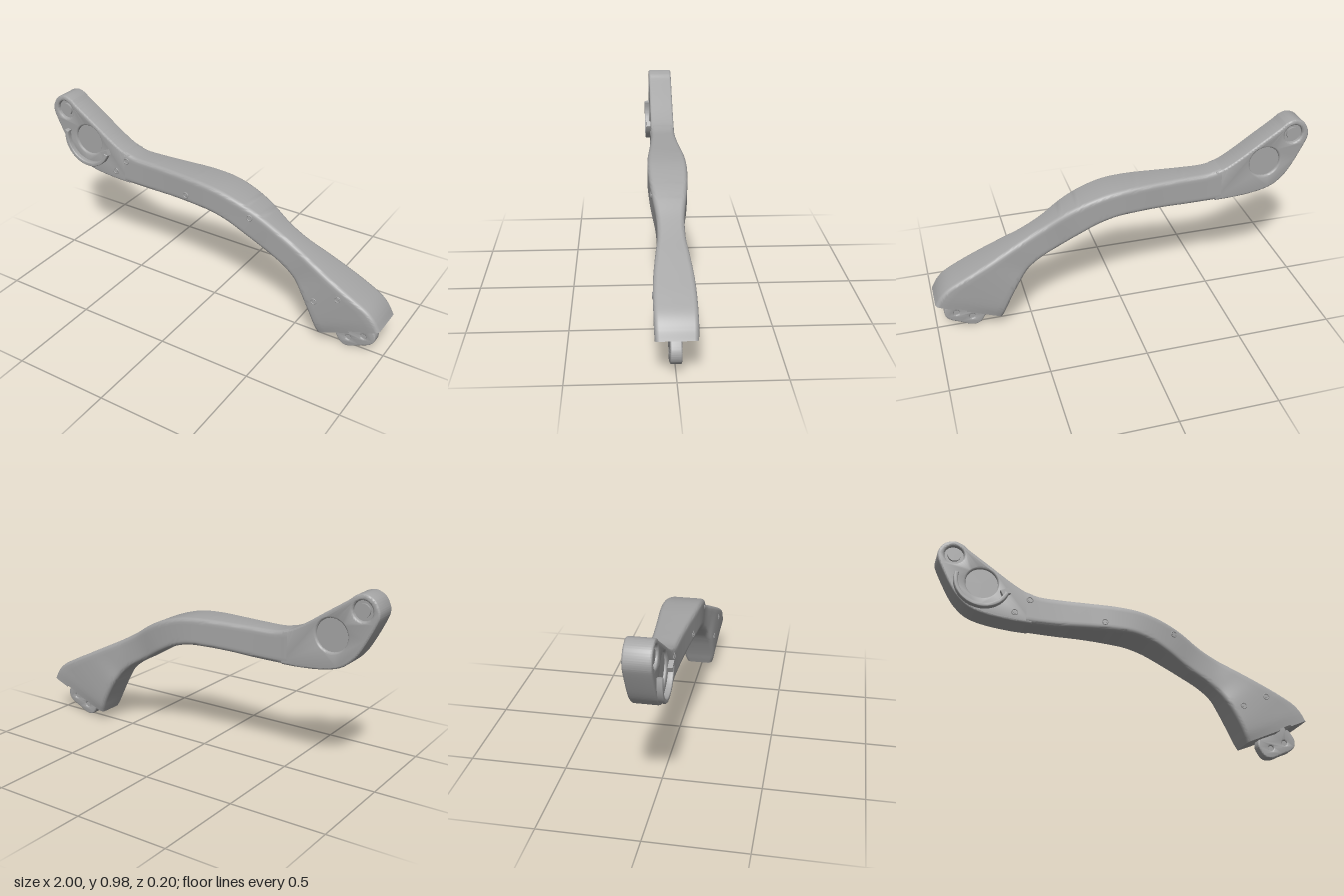
import * as THREE from 'three';
import { toCreasedNormals } from 'three/addons/utils/BufferGeometryUtils.js';

const grey = new THREE.MeshStandardMaterial({ color: 0xa5a5a5 });
grey.name = 'satin grey';

// Edge curves of the arm: x, y and half thickness
const curve = (pts) => new THREE.CatmullRomCurve3(pts.map((p) => new THREE.Vector3(...p)));
const topEdge = curve([
  [-0.53, 0.752, 0.066], [-0.46, 0.737, 0.067], [-0.35, 0.735, 0.071], [-0.2, 0.735, 0.082],
  [-0.05, 0.733, 0.095], [0.08, 0.72, 0.1], [0.2, 0.685, 0.096], [0.3, 0.64, 0.085],
  [0.42, 0.565, 0.068], [0.52, 0.51, 0.068], [0.62, 0.46, 0.082], [0.74, 0.4, 0.095],
  [0.85, 0.345, 0.1], [0.93, 0.3, 0.1], [0.97, 0.26, 0.1], [1, 0.21, 0.098],
]);
const bottomEdge = curve([
  [-0.53, 0.574, 0.066], [-0.46, 0.574, 0.067], [-0.35, 0.576, 0.071], [-0.2, 0.584, 0.082],
  [-0.06, 0.586, 0.095], [0.04, 0.58, 0.1], [0.13, 0.555, 0.098], [0.22, 0.51, 0.09],
  [0.34, 0.437, 0.07], [0.44, 0.38, 0.066], [0.51, 0.325, 0.07], [0.56, 0.26, 0.085],
  [0.6, 0.19, 0.09], [0.63, 0.13, 0.09], [0.645, 0.095, 0.086], [0.66, 0.06, 0.076],
]);

// Arm lofted between the two edges, with rounded corners and a slot across the end
function armGeometry() {
  const steps = 90, r = 0.022;
  const inner = [0.12, 0.24, 0.25, 0.44, 0.45, 0.6, 0.75, 0.9];
  const rings = [];
  for (let i = 0; i <= steps; i++) {
    const T = topEdge.getPoint(i / steps), B = bottomEdge.getPoint(i / steps);
    const L = Math.hypot(T.x - B.x, T.y - B.y);
    const corner = [[0, r], [0.08 * r, 0.62 * r], [0.3 * r, 0.3 * r], [0.62 * r, 0.08 * r], [r, 0]];
    const rows = [
      ...corner,
      ...inner.map((f) => [r + f * (L - 2 * r), 0, f]),
      ...corner.map(([s, d]) => [L - s, d]).reverse(),
    ];
    const front = rows.map(([s, inset, f]) => {
      const p = T.clone().lerp(B, s / L);
      p.z -= inset;
      if (i === steps && f > 0.245 && f < 0.445) {
        p.x -= 0.016;
        p.y += 0.036;
      }
      return p;
    });
    const back = front.map((p) => new THREE.Vector3(p.x, p.y, -p.z)).reverse();
    rings.push([...front, ...back]);
  }
  const n = rings[0].length, pos = [], index = [];
  rings.flat().forEach((p) => pos.push(p.x, p.y, p.z));
  const quad = (a, b, c, d) => index.push(a, b, d, b, c, d);
  for (let i = 0; i < steps; i++) {
    for (let j = 0; j < n; j++) {
      const k = (j + 1) % n;
      quad(i * n + j, i * n + k, (i + 1) * n + k, (i + 1) * n + j);
    }
  }
  // Underside at the foot end
  const e = steps * n;
  for (let j = 0; j < n / 2 - 1; j++) quad(e + j, e + j + 1, e + n - 2 - j, e + n - 1 - j);
  const g = new THREE.BufferGeometry();
  g.setAttribute('position', new THREE.Float32BufferAttribute(pos, 3));
  g.setIndex(index);
  return toCreasedNormals(g, 0.6);
}

// Flat plate with bevelled edges, from z0 to z1
function plate(shape, z0, z1, bevel) {
  const g = new THREE.ExtrudeGeometry(shape, {
    depth: z1 - z0 - 2 * bevel, bevelThickness: bevel, bevelSize: bevel,
    bevelOffset: -bevel, bevelSegments: 3, curveSegments: 24,
  });
  g.translate(0, 0, z0 + bevel);
  return toCreasedNormals(g, 0.6);
}

function smoothShape(pts) {
  const v = pts.map((p) => new THREE.Vector2(...p));
  const s = new THREE.Shape();
  s.moveTo(v[0].x, v[0].y);
  s.splineThru(v.slice(1));
  return s;
}

const hole = (x, y, r) => new THREE.Path().absarc(x, y, r, 0, Math.PI * 2, true);

export function createModel() {
  const model = new THREE.Group();
  const add = (name, geometry) => {
    const m = new THREE.Mesh(geometry, grey);
    m.name = name;
    model.add(m);
    return m;
  };
  const disc = (name, x, y, r, z0, z1, sides = 40) => {
    const g = new THREE.CylinderGeometry(r, r, z1 - z0, sides).rotateX(Math.PI / 2);
    return add(name, g.translate(x, y, (z0 + z1) / 2));
  };

  const arm = add('arm', armGeometry());

  // Pivot lug with two recessed bores
  const lugShape = smoothShape([
    [-0.5, 0.742], [-0.55, 0.758], [-0.62, 0.798], [-0.73, 0.872], [-0.84, 0.945], [-0.875, 0.972],
    [-0.92, 0.985], [-0.965, 0.968], [-0.99, 0.935], [-1, 0.895], [-0.985, 0.845], [-0.92, 0.72],
    [-0.87, 0.655], [-0.81, 0.612], [-0.72, 0.588], [-0.6, 0.576], [-0.5, 0.574],
  ]);
  lugShape.holes.push(hole(-0.765, 0.765, 0.083), hole(-0.915, 0.905, 0.05));
  const lug = add('pivotLug', plate(lugShape, -0.066, 0.064, 0.01));
  disc('pivotDisc', -0.765, 0.765, 0.086, -0.052, 0.052);
  disc('endBoreFloor', -0.915, 0.905, 0.053, -0.045, 0.045);
  disc('endBolt', -0.915, 0.905, 0.033, -0.055, 0.055, 24);

  // Raised lip curving under the pivot disc
  const lip = new THREE.Shape();
  const a0 = 2.9, a1 = 5.95;
  lip.absarc(-0.765, 0.765, 0.147, a0, a1, false);
  lip.absarc(-0.765, 0.765, 0.125, a1, a0, true);
  add('curvedLip', plate(lip, 0.05, 0.09, 0.005));
  const stop = new THREE.BoxGeometry(0.045, 0.03, 0.035);
  add('lipStop', stop.rotateZ(0.45).translate(-0.645, 0.722, 0.07));

  // Foot tab with two shallow dimples
  const tabShape = smoothShape([
    [0.78, 0.18], [0.742, 0.085], [0.757, 0.035], [0.785, 0.008], [0.825, 0.008], [0.88, 0.034],
    [0.93, 0.058], [0.955, 0.09], [0.95, 0.135], [0.9, 0.2],
  ]);
  const dimples = [[0.815, 0.06], [0.895, 0.097]];
  dimples.forEach(([x, y]) => tabShape.holes.push(hole(x, y, 0.014)));
  add('footTab', plate(tabShape, -0.027, 0.027, 0.007));
  dimples.forEach(([x, y]) => disc('tabDimple', x, y, 0.016, -0.02, 0.02, 20));

  // Screws seated on the front face
  const ray = new THREE.Raycaster();
  const toBack = new THREE.Vector3(0, 0, -1);
  const screws = [[-0.515, 0.705], [-0.59, 0.625], [-0.12, 0.63], [0.26, 0.615], [0.64, 0.255], [0.77, 0.32]];
  for (const [x, y] of screws) {
    ray.set(new THREE.Vector3(x, y, 1), toBack);
    const hit = ray.intersectObjects([arm, lug])[0];
    if (!hit) continue;
    const screw = new THREE.Group();
    screw.name = 'screw';
    const rim = new THREE.Mesh(new THREE.TorusGeometry(0.015, 0.003, 8, 24), grey);
    rim.name = 'screwRim';
    const head = new THREE.Mesh(new THREE.CylinderGeometry(0.009, 0.009, 0.004, 6).rotateX(Math.PI / 2), grey);
    head.name = 'screwHead';
    screw.add(rim, head);
    screw.position.copy(hit.point);
    screw.quaternion.setFromUnitVectors(new THREE.Vector3(0, 0, 1), hit.face.normal);
    model.add(screw);
  }
  return model;
}
